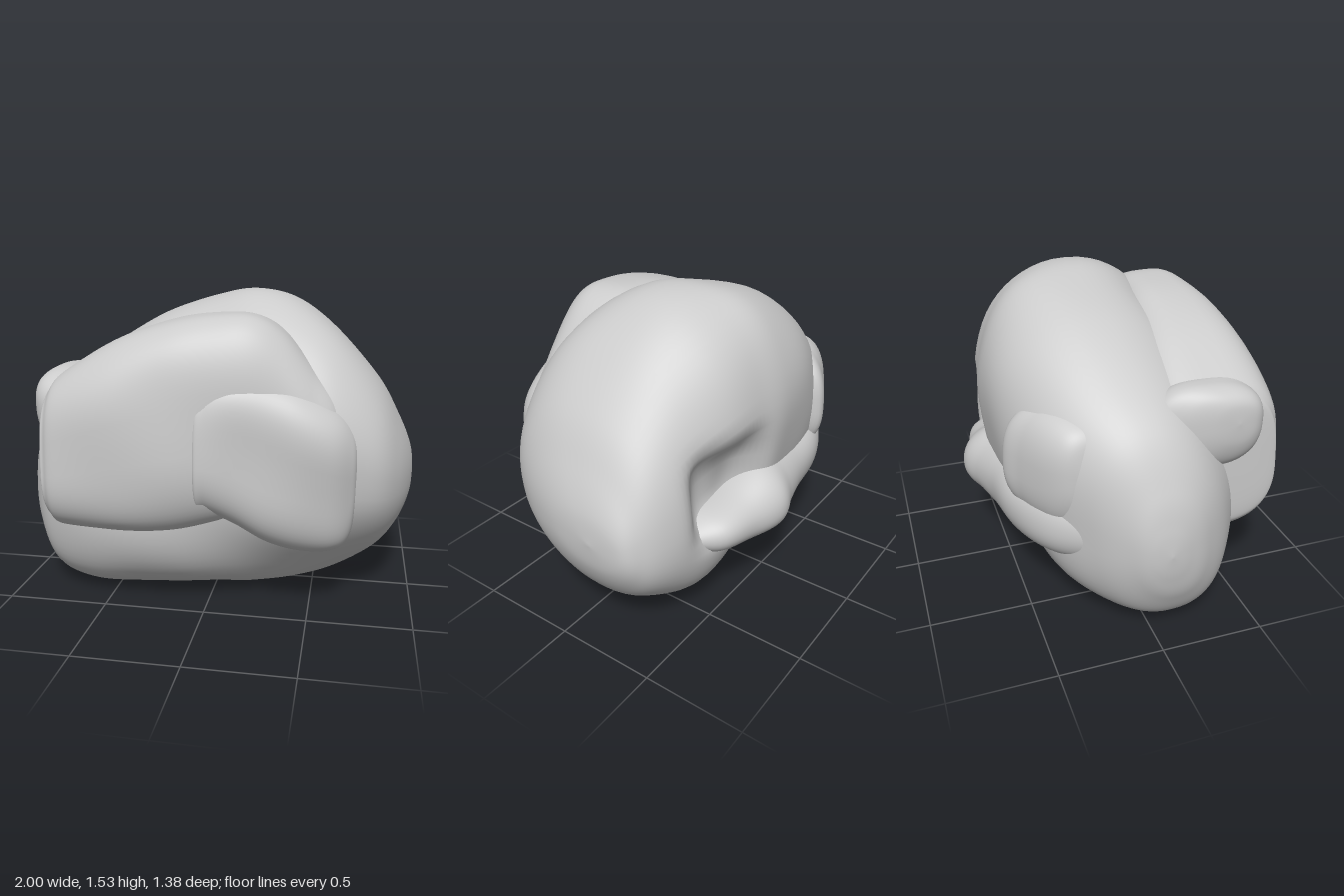
import * as THREE from 'three';
import { mergeVertices } from 'three/addons/utils/BufferGeometryUtils.js';

const { smoothstep } = THREE.MathUtils;

const spline = (a, b, c, d, t) =>
  b + 0.5 * t * (c - a + t * (2 * a - 5 * b + 4 * c - d + t * (3 * (b - c) + d - a)));

// Boulder lofted along x. Each section: [x, yBottom, yTop, zBack, zFront, lean].
// power sets how boxy the sections are, lean shifts z with height.
function boulder(name, sections, { power = 2.4, rough = 0.006, warp } = {}) {
  const steps = 8, around = 64, pos = [], index = [];
  const at = (i) => sections[Math.min(Math.max(i, 0), sections.length - 1)];
  const rings = (sections.length - 1) * steps;
  const p = new THREE.Vector3();
  const bend = (v) => Math.sign(v) * Math.pow(Math.abs(v), 2 / power);
  for (let r = 0; r <= rings; r++) {
    const k = Math.min(Math.floor(r / steps), sections.length - 2), t = r / steps - k;
    const [x, y0, y1, z0, z1, lean = 0] = at(k).map((_, n) =>
      spline(at(k - 1)[n], at(k)[n], at(k + 1)[n], at(k + 2)[n], t));
    for (let j = 0; j < around; j++) {
      const a = (j / around) * Math.PI * 2;
      const up = bend(Math.sin(a)) * (y1 - y0) / 2;
      p.set(x, (y0 + y1) / 2 + up, (z0 + z1) / 2 + bend(Math.cos(a)) * (z1 - z0) / 2 + lean * up);
      // gentle weathering
      p.z += rough * Math.sin(9 * p.x + 3 * p.y) * Math.cos(8 * p.y - 2 * p.x);
      p.y += rough * Math.sin(8 * p.x + 5 * p.z) * Math.cos(7 * p.z);
      if (warp) warp(p);
      pos.push(p.x, p.y, p.z);
      if (r < rings) {
        const A = r * around + j, B = r * around + (j + 1) % around;
        index.push(A, A + around, B, B, A + around, B + around);
      }
    }
  }
  let geo = new THREE.BufferGeometry();
  geo.setAttribute('position', new THREE.Float32BufferAttribute(pos, 3));
  geo.setIndex(index);
  geo = mergeVertices(geo, 1e-5);
  geo.computeVertexNormals();
  const mesh = new THREE.Mesh(geo, new THREE.MeshStandardMaterial({ color: 0xcccccc }));
  mesh.name = name;
  return mesh;
}

export function createModel() {
  const group = new THREE.Group();
  group.name = 'rockPile';

  // Hollow in the back above the ledge, a fuller lower back, and an undercut at the lower front right
  const carve = (p) => {
    const low = 1 - smoothstep(p.y, 0, 0.6);
    if (p.z < 0) {
      p.z *= 1 + 0.12 * low;
      p.z += 0.15 * Math.exp(-(((p.x - 0.4) / 0.22) ** 4) - ((p.y - 0.7) / 0.2) ** 4);
    }
    if (p.z > -0.1) p.z -= (p.z + 0.1) * 0.3 * low * smoothstep(p.x, -0.15, 0.5);
  };

  group.add(
    boulder('mainBoulder', [
      [-1, 0.53, 0.53, 0.03, 0.03, -0.1],
      [-0.985, 0.4, 0.66, -0.06, 0.12, -0.1],
      [-0.94, 0.25, 0.82, -0.14, 0.23, -0.1],
      [-0.82, 0.07, 1.04, -0.28, 0.37, -0.12],
      [-0.6, 0.01, 1.22, -0.45, 0.49, -0.14],
      [-0.3, 0.01, 1.41, -0.55, 0.52, -0.14],
      [0, 0.02, 1.51, -0.59, 0.51, -0.12],
      [0.2, 0.01, 1.53, -0.58, 0.52, -0.08],
      [0.4, 0.02, 1.48, -0.57, 0.51, -0.02],
      [0.6, 0.08, 1.34, -0.53, 0.48, 0.06],
      [0.8, 0.2, 1.11, -0.48, 0.4, 0.12],
      [0.91, 0.32, 0.91, -0.43, 0.25, 0.15],
      [0.98, 0.46, 0.74, -0.36, 0.03, 0.15],
      [1, 0.6, 0.6, -0.2, -0.2, 0.15],
    ], { power: 2.25, warp: carve }),

    boulder('frontBlock', [
      [-0.75, 0.8, 0.8, 0.35, 0.35, -0.03],
      [-0.745, 0.53, 1.05, 0.12, 0.61, -0.03],
      [-0.72, 0.44, 1.13, 0.06, 0.65, -0.03],
      [-0.65, 0.41, 1.19, 0.04, 0.675, -0.03],
      [-0.4, 0.4, 1.33, 0.04, 0.685, -0.03],
      [-0.15, 0.42, 1.42, 0.07, 0.66, -0.03],
      [0.05, 0.46, 1.45, 0.1, 0.62, -0.03],
      [0.22, 0.5, 1.44, 0.1, 0.59, -0.03],
      [0.36, 0.52, 1.36, 0.09, 0.56, -0.03],
      [0.5, 0.56, 1.2, 0.1, 0.53, -0.03],
      [0.62, 0.64, 1.05, 0.14, 0.47, -0.03],
      [0.67, 0.83, 0.83, 0.3, 0.3, 0],
    ], { power: 3 }),

    boulder('frontRightSlab', [
      [-0.03, 0.8, 0.8, 0.55, 0.55, 0],
      [-0.02, 0.57, 1.1, 0.4, 0.63, 0],
      [0.03, 0.53, 1.16, 0.22, 0.64, 0],
      [0.15, 0.46, 1.18, 0.18, 0.63, 0.03],
      [0.3, 0.36, 1.16, 0.14, 0.61, 0.07],
      [0.45, 0.32, 1.12, 0.12, 0.59, 0.09],
      [0.6, 0.33, 1.04, 0.1, 0.55, 0.09],
      [0.68, 0.39, 0.96, 0.13, 0.49, 0.09],
      [0.71, 0.55, 0.87, 0.2, 0.44, 0.09],
      [0.72, 0.75, 0.75, 0.33, 0.33, 0.09],
    ], { power: 3.1, rough: 0.012 }),

    boulder('sideStone', [
      [-0.82, 1.03, 1.03, 0.4, 0.4],
      [-0.81, 0.92, 1.12, 0.28, 0.49],
      [-0.77, 0.82, 1.17, 0.14, 0.54],
      [-0.7, 0.76, 1.19, 0.03, 0.56],
      [-0.6, 0.76, 1.17, 0.04, 0.56],
      [-0.5, 0.9, 1.05, 0.2, 0.4],
    ], { power: 2.5 }),

    boulder('backStone', [
      [-0.77, 0.83, 0.83, -0.28, -0.28],
      [-0.74, 0.65, 1.0, -0.38, -0.14],
      [-0.66, 0.53, 1.07, -0.46, -0.05],
      [-0.52, 0.5, 1.1, -0.535, -0.05],
      [-0.39, 0.56, 1.06, -0.575, -0.1],
      [-0.3, 0.82, 0.82, -0.4, -0.4],
    ], { power: 2.7 }),

    boulder('backLedge', [
      [-0.85, 0.54, 0.54, -0.12, -0.12],
      [-0.8, 0.43, 0.65, -0.28, 0],
      [-0.65, 0.36, 0.7, -0.46, -0.1],
      [-0.4, 0.33, 0.72, -0.575, -0.2],
      [-0.15, 0.33, 0.72, -0.615, -0.25],
      [0, 0.33, 0.71, -0.645, -0.25],
      [0.14, 0.33, 0.69, -0.69, -0.25],
      [0.3, 0.34, 0.63, -0.655, -0.25],
      [0.5, 0.39, 0.59, -0.59, -0.25],
      [0.64, 0.49, 0.49, -0.4, -0.4],
    ], { power: 2.1, rough: 0.012 }),
  );
  return group;
}
